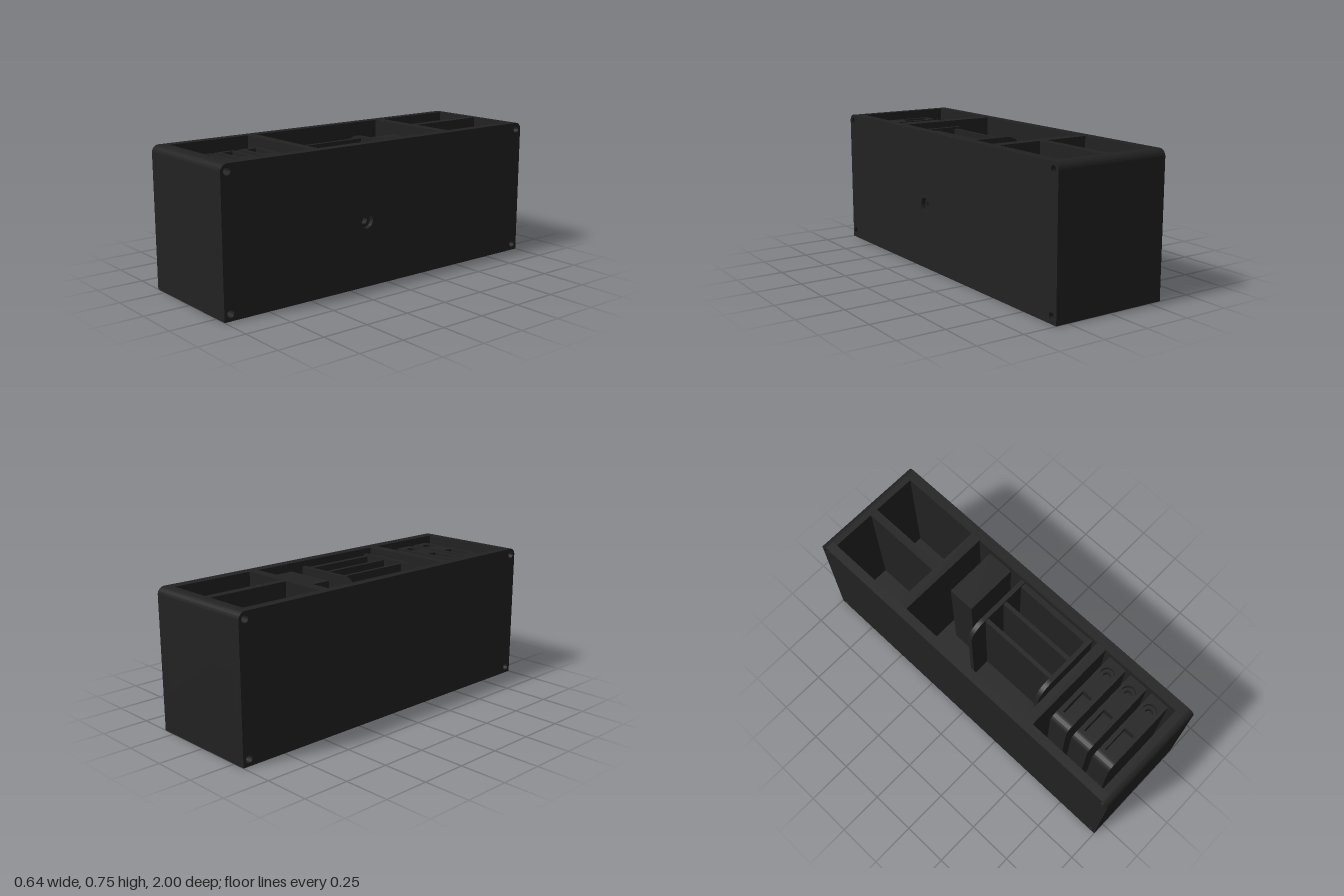
import * as THREE from 'three';
import { toCreasedNormals } from 'three/addons/utils/BufferGeometryUtils.js';

const H = 0.75, FLOOR = 0.06;
const X0 = -0.27, X1 = 0.265;                 // inner faces of the long walls
const charcoal = new THREE.MeshStandardMaterial({ color: 0x222222 });
charcoal.name = 'charcoal plastic';

export function createModel() {
  const model = new THREE.Group();
  model.name = 'deskOrganizer';

  const add = (name, geometry, parent = model) => {
    const mesh = new THREE.Mesh(geometry, charcoal);
    mesh.name = name;
    parent.add(mesh);
    return mesh;
  };
  const box = (name, xa, xb, ya, yb, za, zb, parent) =>
    add(name, new THREE.BoxGeometry(xb - xa, yb - ya, zb - za), parent)
      .position.set((xa + xb) / 2, (ya + yb) / 2, (za + zb) / 2);
  const extrude = (shape, depth) => new THREE.ExtrudeGeometry(shape,
    { depth, bevelEnabled: false, curveSegments: 24 });
  const crease = (g) => toCreasedNormals(g, 0.5);
  const circle = (x, y, r) => new THREE.Path().absarc(x, y, r, 0, Math.PI * 2, true);

  // Extrude a (-z, y) profile along x, from xa to xb
  const alongX = (shape, xa, xb) =>
    crease(extrude(shape, xb - xa).rotateY(Math.PI / 2).translate(xa, 0, 0));
  // Extrude an (x, y) profile along z
  const alongZ = (shape, za, zb) => crease(extrude(shape, zb - za).translate(0, 0, za));
  // Extrude an (x, -z) plan upwards
  const upward = (shape, ya, yb) =>
    crease(extrude(shape, yb - ya).rotateX(-Math.PI / 2).translate(0, ya, 0));

  // Side outline with rounded top corners, screw holes and optional pockets [zBack, zFront]
  const outline = (pockets = []) => {
    const r = 0.038, s = new THREE.Shape();
    s.moveTo(-1, 0);
    s.lineTo(1, 0);
    s.lineTo(1, H - r);
    s.absarc(1 - r, H - r, r, 0, Math.PI / 2, false);
    for (const [zb, zf] of pockets) {
      s.lineTo(-zb, H);
      s.lineTo(-zb, FLOOR);
      s.lineTo(-zf, FLOOR);
      s.lineTo(-zf, H);
    }
    s.lineTo(-1 + r, H);
    s.absarc(-1 + r, H - r, r, Math.PI / 2, Math.PI, false);
    for (const u of [-0.965, 0.965])
      for (const y of [0.037, 0.713]) s.holes.push(circle(u, y, 0.019));
    return s;
  };

  // Case: two long walls around a comb-shaped core
  const shell = new THREE.Group();
  shell.name = 'case';
  model.add(shell);
  add('rightWall', alongX(outline(), -0.32, X0), shell);
  add('core', alongX(outline([[-0.935, -0.475], [-0.417, 0.41], [0.465, 0.925]]), X0, X1), shell);
  // Left wall has a counterbored cable hole
  [[X1, 0.295, 0.02], [0.295, 0.32, 0.039]].forEach(([xa, xb, r]) => {
    const s = outline();
    s.holes.push(circle(-0.14, 0.35, r));
    add('leftWall', alongX(s, xa, xb), shell);
  });
  // Partition between the two rear bins
  box('rearPartition', -0.025, 0.02, FLOOR, H, -0.935, -0.475, shell);

  // Shelf block in the middle bay
  box('shelfBlock', -0.03, X1, FLOOR, 0.705, -0.34, -0.19);

  // Rack: rounded end plates with upright dividers
  const rack = new THREE.Group();
  rack.name = 'rack';
  model.add(rack);
  const roundedPlate = (xa, top, r) => {
    const s = new THREE.Shape();
    s.moveTo(xa, FLOOR);
    s.lineTo(X1, FLOOR);
    s.lineTo(X1, top);
    s.lineTo(xa + r, top);
    s.absarc(xa + r, top - r, r, Math.PI / 2, Math.PI, false);
    return s;
  };
  for (const [za, zb] of [[-0.114, -0.089], [0.356, 0.381]])
    add('rackEnd', alongZ(roundedPlate(-0.135, 0.72, 0.1), za, zb), rack);
  for (const [xa, xb] of [[-0.03, -0.008], [0.102, 0.125], [0.235, X1]])
    box('rackDivider', xa, xb, FLOOR, 0.71, -0.089, 0.356, rack);
  box('rackBase', -0.132, X1, FLOOR, 0.1, -0.089, 0.356, rack);

  // Three rounded holders in the front bay, each with a slot and a stepped round socket
  for (const z of [0.552, 0.692, 0.83]) {
    const holder = new THREE.Group();
    holder.name = 'holder';
    model.add(holder);
    const half = 0.054, xs = -0.13, r = 0.045, top = 0.71;
    const body = new THREE.Shape();
    body.moveTo(-0.175, FLOOR);
    body.lineTo(X1, FLOOR);
    body.lineTo(X1, 0.65);
    body.lineTo(xs, 0.65);
    body.lineTo(xs, top);
    body.absarc(xs, top - r, r, Math.PI / 2, Math.PI, false);
    add('holderBody', alongZ(body, z - half, z + half), holder);
    for (const [ya, yb, hole] of [[0.65, 0.685, 0.02], [0.685, top, 0.037]]) {
      const s = new THREE.Shape([
        new THREE.Vector2(xs, -z - half), new THREE.Vector2(X1, -z - half),
        new THREE.Vector2(X1, -z + half), new THREE.Vector2(xs, -z + half)]);
      s.holes.push(circle(0.187, -z, hole), new THREE.Path([
        new THREE.Vector2(-0.11, -z - 0.03), new THREE.Vector2(-0.11, -z + 0.03),
        new THREE.Vector2(0.04, -z + 0.03), new THREE.Vector2(0.04, -z - 0.03)]));
      add('holderTop', upward(s, ya, yb), holder);
    }
  }
  return model;
}
